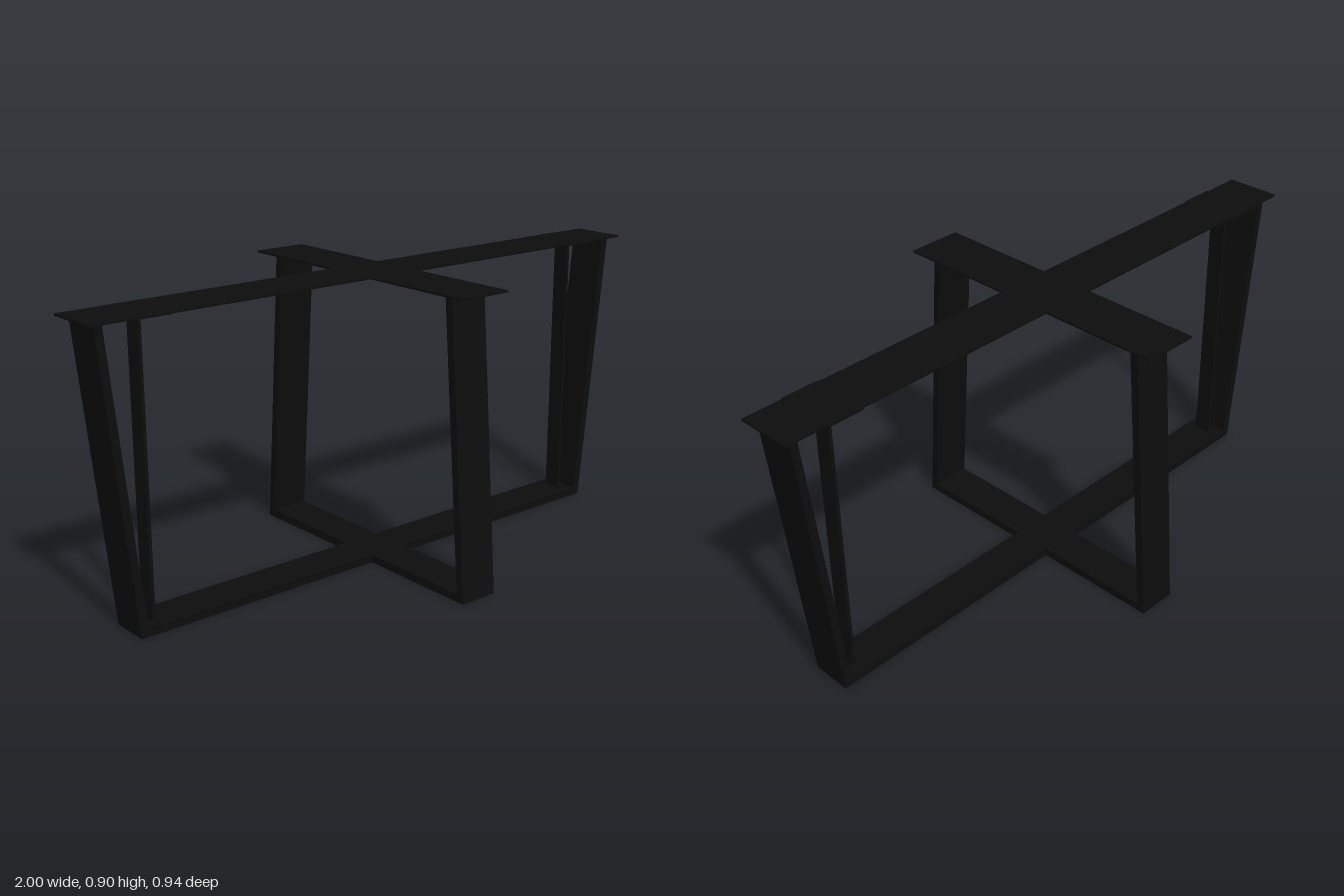
import * as THREE from 'three';

const black = new THREE.MeshStandardMaterial({ color: 0x0d0d0d });
const HEIGHT = 0.9, PLATE = 0.006, BAR = 0.025, WIDTH = 0.125;

function box(name, w, h, d, x, y, z) {
  const mesh = new THREE.Mesh(new THREE.BoxGeometry(w, h, d), black);
  mesh.name = name;
  mesh.position.set(x, y, z);
  return mesh;
}

// U-shaped flat-bar frame: floor bar with two slanted legs
function legFrame(name, bottom, top) {
  const y = HEIGHT - PLATE;
  const innerBottom = bottom + (top - bottom) * BAR / y - BAR;
  const shape = new THREE.Shape();
  shape.moveTo(-bottom, 0);
  shape.lineTo(bottom, 0);
  shape.lineTo(top, y);
  shape.lineTo(top - BAR, y);
  shape.lineTo(innerBottom, BAR);
  shape.lineTo(-innerBottom, BAR);
  shape.lineTo(-top + BAR, y);
  shape.lineTo(-top, y);
  shape.closePath();
  const geometry = new THREE.ExtrudeGeometry(shape, { depth: WIDTH, bevelEnabled: false });
  geometry.translate(0, 0, -WIDTH / 2);
  const mesh = new THREE.Mesh(geometry, black);
  mesh.name = name;
  return mesh;
}

export function createModel() {
  const group = new THREE.Group();
  group.name = 'tableBase';

  // Long frame flares outward, short cross frame tapers inward
  group.add(legFrame('longFrame', 0.882, 0.973));
  const cross = legFrame('crossFrame', 0.468, 0.4);
  cross.rotation.y = Math.PI / 2;
  group.add(cross);

  // Thin mounting plates forming a cross on top
  const plateY = HEIGHT - PLATE / 2;
  group.add(box('longTopPlate', 2, PLATE, 0.175, 0, plateY, 0));
  group.add(box('crossTopPlate', 0.175, PLATE, 0.934, 0, plateY, 0));

  // Upright tie straps near each end, with small plates at their heads
  for (const side of [-1, 1]) {
    const label = side > 0 ? 'left' : 'right';
    const strapHeight = HEIGHT - PLATE - BAR;
    group.add(box(label + 'Strap', 0.01, strapHeight, 0.055, side * 0.82, BAR + strapHeight / 2, 0));
    group.add(box(label + 'StrapPlate', 0.115, 0.005, 0.187, side * 0.815, HEIGHT - 0.0035, 0));
  }
  return group;
}
